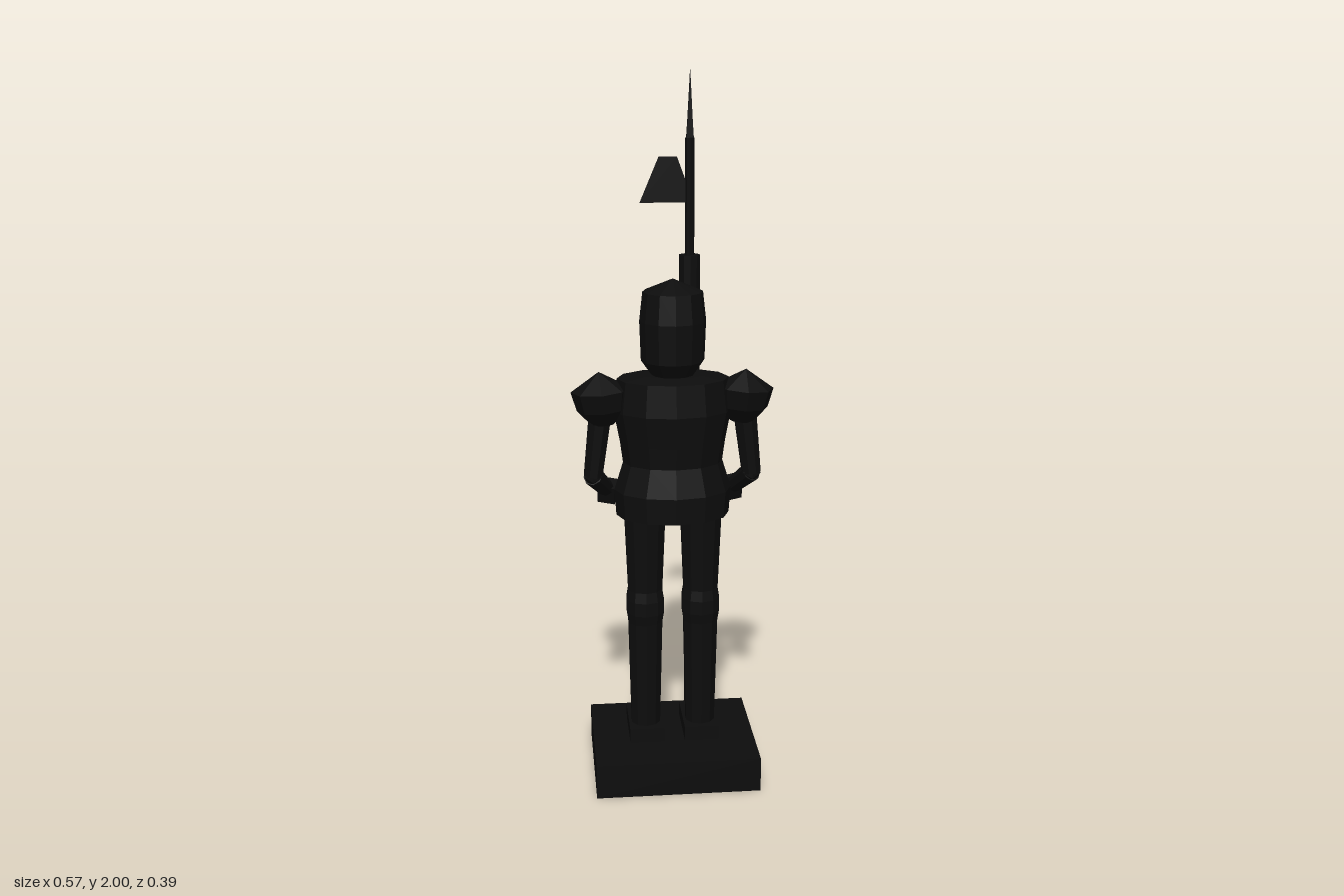
import * as THREE from 'three';

const black = new THREE.MeshStandardMaterial({ color: 0x0d0d0d, flatShading: true });
black.name = 'black metal';
const blackSheet = black.clone(); // same colour, visible from both sides
blackSheet.name = 'black sheet';
blackSheet.side = THREE.DoubleSide;

export function createModel() {
  const model = new THREE.Group();
  model.name = 'knightStatue';

  const add = (name, geometry, x = 0, y = 0, z = 0, parent = model, material = black) => {
    const mesh = new THREE.Mesh(geometry, material);
    mesh.name = name;
    mesh.position.set(x, y, z);
    parent.add(mesh);
    return mesh;
  };
  // Turned shape from [radius, height] pairs, bottom to top
  const turned = (profile, sides) =>
    new THREE.LatheGeometry(profile.map(([r, y]) => new THREE.Vector2(r, y)), sides);
  // Tapered limb between two points
  const limb = (name, from, to, r0, r1, parent) => {
    const a = new THREE.Vector3(...from), b = new THREE.Vector3(...to);
    const dir = b.clone().sub(a);
    const mesh = add(name, new THREE.CylinderGeometry(r1, r0, dir.length(), 8), 0, 0, 0, parent);
    mesh.position.copy(a).add(b).multiplyScalar(0.5);
    mesh.quaternion.setFromUnitVectors(new THREE.Vector3(0, 1, 0), dir.normalize());
    return mesh;
  };

  add('plinth', new THREE.BoxGeometry(0.47, 0.1, 0.39), 0, 0.05, 0);

  // Breastplate and flared skirt, oval in plan
  const torso = add('torso', turned([
    [0, 0.785], [0.16, 0.785], [0.165, 0.86], [0.14, 0.94], [0.148, 1.0],
    [0.165, 1.09], [0.155, 1.18], [0.09, 1.19], [0, 1.19],
  ], 12));
  torso.scale.z = 0.7;

  // Helmet with a low peak
  add('helmet', turned([
    [0, 1.18], [0.06, 1.19], [0.088, 1.23], [0.092, 1.34], [0.083, 1.42], [0, 1.455],
  ], 12));
  // Visor band across the face
  add('visor', new THREE.CylinderGeometry(0.098, 0.098, 0.025, 8, 1, false, Math.PI * 0.75, Math.PI / 2),
    0, 1.33, 0);

  for (const s of [-1, 1]) {
    const side = s > 0 ? 'left' : 'right';

    // Leg: thigh, knee guard, shin, foot
    const leg = new THREE.Group();
    leg.name = side + 'Leg';
    leg.position.x = s * 0.08;
    model.add(leg);
    add('legPlates', turned([
      [0, 0.12], [0.043, 0.12], [0.045, 0.2], [0.051, 0.46], [0.056, 0.49],
      [0.056, 0.53], [0.051, 0.56], [0.061, 0.8], [0, 0.8],
    ], 10), 0, 0, 0, leg);
    add('foot', new THREE.BoxGeometry(0.1, 0.045, 0.168), 0, 0.119, -0.022, leg);

    // Arm: shoulder guard, upper arm, forearm, fist
    const arm = new THREE.Group();
    arm.name = side + 'Arm';
    model.add(arm);
    const guard = add('shoulderGuard', turned([
      [0, -0.075], [0.035, -0.072], [0.07, -0.03], [0.082, 0.025], [0, 0.075],
    ], 8), s * 0.199, 1.125, 0, arm);
    guard.rotation.z = -s * 0.08;
    limb('upperArm', [s * 0.2, 1.1, 0], [s * 0.224, 0.9, -0.005], 0.034, 0.028, arm);
    add('elbow', new THREE.IcosahedronGeometry(0.029, 0), s * 0.224, 0.9, -0.005, arm);
    limb('forearm', [s * 0.224, 0.9, -0.005], [s * 0.185, 0.84, -0.075], 0.029, 0.024, arm);
    add('fist', new THREE.BoxGeometry(0.05, 0.055, 0.05), s * 0.178, 0.828, -0.09, arm)
      .rotation.set(0.35, s * 0.3, 0);
  }

  // Lance with a thick grip sleeve and a flat blade
  const lance = new THREE.Group();
  lance.name = 'lance';
  lance.position.set(0.06, 0, -0.13);
  model.add(lance);
  add('shaft', new THREE.CylinderGeometry(0.013, 0.013, 1.72, 8), 0, 0.96, 0, lance);
  add('sleeve', new THREE.CylinderGeometry(0.03, 0.03, 0.735, 10), 0, 1.1325, 0, lance);

  // Flat plates cut from an outline
  const plate = (points, depth) => {
    const shape = new THREE.Shape(points.map(([x, y]) => new THREE.Vector2(x, y)));
    return new THREE.ExtrudeGeometry(shape, { depth, bevelEnabled: false }).translate(0, 0, -depth / 2);
  };
  add('blade', plate([[-0.011, 1.81], [0.011, 1.81], [0.007, 1.87], [0, 2], [-0.007, 1.87]], 0.009),
    0, 0, 0, lance, blackSheet);
  add('pennant', plate([[-0.139, 1.645], [0.005, 1.645], [-0.01, 1.7], [-0.036, 1.77], [-0.086, 1.77]], 0.006),
    0, 0, 0, lance, blackSheet);

  return model;
}
